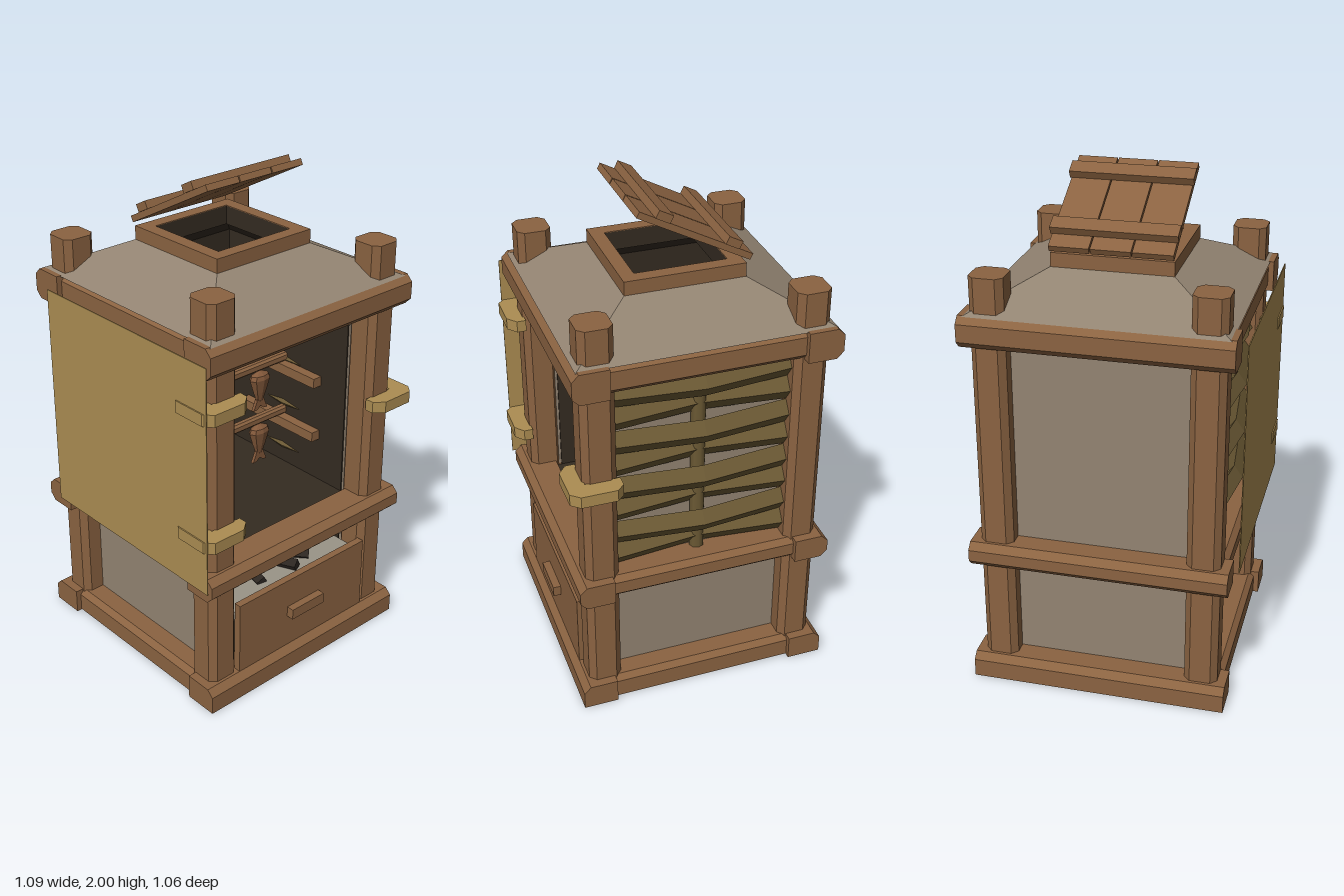
import * as THREE from 'three';

const mat = (name, color, extra = {}) => {
  const m = new THREE.MeshStandardMaterial({ color, ...extra });
  m.name = name;
  return m;
};

export function createModel() {
  const wood = mat('timber', 0x8b6341);
  const plaster = mat('plaster', 0x938472, { side: THREE.DoubleSide });
  const soot = mat('soot', 0x342b21, { side: THREE.DoubleSide });
  const wicker = mat('wicker', 0x6b5934);
  const strapMat = mat('strap', 0xac8d52);
  const fishMat = mat('smoked fish', 0x82583a);
  const ashMat = mat('ash', 0x9a9488);
  const coal = mat('charcoal', 0x2c2621);

  const model = new THREE.Group();
  const body = new THREE.Group();
  body.name = 'smokehouse';
  body.position.z = -0.015;
  model.add(body);

  const add = (name, geo, m, x = 0, y = 0, z = 0, parent = body) => {
    const mesh = new THREE.Mesh(geo, m);
    mesh.name = name;
    mesh.position.set(x, y, z);
    parent.add(mesh);
    return mesh;
  };
  const box = (name, m, w, h, d, x, y, z, parent) =>
    add(name, new THREE.BoxGeometry(w, h, d), m, x, y, z, parent);
  const flat = (geo) => {
    const g = geo.toNonIndexed();
    g.computeVertexNormals();
    return g;
  };
  const shapeOf = (pts) => new THREE.Shape(pts.map(([x, y]) => new THREE.Vector2(x, y)));
  // Prism along z, centred on its length
  const prism = (pts, len) =>
    new THREE.ExtrudeGeometry(shapeOf(pts), { depth: len, bevelEnabled: false }).translate(0, 0, -len / 2);
  // Rectangle with cut corners
  const cutRect = (w, h, c) => {
    const a = w / 2, b = h / 2;
    return [[-a + c, -b], [a - c, -b], [a, -b + c], [a, b - c], [a - c, b], [-a + c, b], [-a, b - c], [-a, -b + c]];
  };
  // Beam profile cut on the outer (+x) edges only
  const beamProfile = (w, h, c, foot) => {
    const a = w / 2, b = h / 2;
    return [[-a, -b], ...(foot ? [[a, -b]] : [[a - c, -b], [a, -b + c]]), [a, b - c], [a - c, b], [-a, b]];
  };
  // Open square funnel, given the half widths of its top and bottom
  const funnel = (top, bottom, h) =>
    flat(new THREE.CylinderGeometry(top * Math.SQRT2, bottom * Math.SQRT2, h, 4, 1, true).rotateY(Math.PI / 4));

  // Corner posts
  for (const sx of [-1, 1]) for (const sz of [-1, 1])
    add('cornerPost', prism(cutRect(0.133, 0.133, 0.025), 1.68).rotateX(-Math.PI / 2), wood, sx * 0.41, 0.865, sz * 0.41);

  // Three rings of beams
  for (const [y0, y1] of [[0, 0.102], [0.517, 0.618], [1.44, 1.563]]) {
    const h = y1 - y0, y = (y0 + y1) / 2, foot = y0 === 0;
    for (const s of [-1, 1]) {
      const long = add('crossBeam', prism(beamProfile(0.14, h, 0.027, foot), 1.024), wood, 0, y, s * 0.445);
      long.rotation.y = -s * Math.PI / 2;
      const side = add('sideBeam', prism(beamProfile(0.14, h - 0.005, 0.022, foot), 0.77), wood, s * 0.42, y, 0);
      side.rotation.y = s > 0 ? 0 : Math.PI;
    }
  }

  // Wall panels
  for (const [y0, y1, xOut] of [[0.09, 0.53, 0.392], [0.6, 1.46, 0.37]]) {
    const h = y1 - y0, y = (y0 + y1) / 2;
    box('backWall', plaster, 0.72, h, 0.02, 0, y, -0.392);
    for (const s of [-1, 1]) box('sideWall', plaster, 0.02, h, 0.72, s * (xOut - 0.01), y, 0);
  }

  // Sooty lining of the chamber and firebox
  box('backLining', soot, 0.69, 1.45, 0.006, 0, 0.835, -0.347);
  for (const s of [-1, 1]) box('sideLining', soot, 0.006, 1.45, 0.7, s * 0.347, 0.835, 0);
  box('chamberFloor', soot, 0.69, 0.01, 0.74, 0, 0.59, 0);
  box('baseFloor', soot, 0.76, 0.01, 0.76, 0, 0.1, 0);

  // Woven side slats: diamond section, bent alternately in and out around a stake
  for (const s of [-1, 1]) {
    for (let i = 0; i < 8; i++) {
      const g = new THREE.CylinderGeometry(1, 1, 0.7, 4, 2).rotateX(Math.PI / 2);
      const p = g.attributes.position;
      const bend = i % 2 ? 0.036 : -0.035;
      for (let k = 0; k < p.count; k++) {
        const z = p.getZ(k), mid = 1 - Math.abs(z) / 0.35;
        p.setXYZ(k, p.getX(k) * 0.036 + s * bend * mid, p.getY(k) * 0.051, z);
      }
      add('wovenSlat', flat(g), wicker, s * 0.405, 0.672 + i * 0.1025, 0);
    }
    add('wallStake', new THREE.CylinderGeometry(0.03, 0.03, 0.84, 8), wicker, s * 0.382, 1.03, 0);
  }

  // Hipped roof, open at the top, with a dark inside
  add('roof', funnel(0.235, 0.495, 0.125), plaster, 0, 1.6225, 0);
  add('roofLining', funnel(0.19, 0.345, 0.13), soot, 0, 1.62, 0);

  // Smoke vent collar with a sooty throat
  const ring = shapeOf([[-0.235, -0.235], [0.235, -0.235], [0.235, 0.235], [-0.235, 0.235]]);
  ring.holes.push(shapeOf([[-0.18, -0.18], [-0.18, 0.18], [0.18, 0.18], [0.18, -0.18]]));
  add('ventCollar', new THREE.ExtrudeGeometry(ring, { depth: 0.058, bevelEnabled: false }).rotateX(-Math.PI / 2), wood, 0, 1.682, 0);
  add('ventThroat', funnel(0.179, 0.179, 0.075), soot, 0, 1.7, 0);

  // Tilted vent lid
  const lid = new THREE.Group();
  lid.name = 'ventLid';
  lid.position.set(0, 1.875, -0.037);
  lid.rotation.x = -0.485;
  body.add(lid);
  for (const i of [-1, 0, 1]) box('lidBoard', wood, 0.153, 0.025, 0.49, i * 0.158, 0, 0, lid);
  for (const s of [-1, 1]) box('lidBatten', wood, 0.482, 0.032, 0.06, 0, 0.028, s * 0.15, lid);

  // Open door folded back along the side
  box('openDoor', strapMat, 0.004, 0.93, 0.925, -0.538, 1.045, 0.06);

  // Straps wrapped round the front posts
  const strapShape = [[0.335, 0.47], [0.335, 0.507], [0.375, 0.54], [0.515, 0.54], [0.545, 0.505], [0.545, 0.365],
    [0.515, 0.335], [0.47, 0.335], [0.47, 0.47]];
  for (const [s, y] of [[-1, 1.307], [-1, 0.783], [1, 1.05]]) {
    const pts = strapShape.map(([x, z]) => [s * x, -z]);
    add(s < 0 ? 'doorHinge' : 'doorLatch', prism(pts, 0.048).rotateX(-Math.PI / 2), strapMat, 0, y, 0);
  }

  // Fish racks: side rails, a bar and three hanging fish on each level
  const bodyGeo = flat(new THREE.LatheGeometry(
    [[0, -0.125], [0.018, -0.11], [0.034, -0.07], [0.054, -0.01], [0.045, 0.008], [0, 0.028]]
      .map(([x, y]) => new THREE.Vector2(x, y)), 8).scale(1, 1, 0.55));
  const tailGeo = prism([[-0.014, -0.095], [-0.038, -0.152], [-0.018, -0.15], [0, -0.135], [0.018, -0.15], [0.038, -0.152], [0.014, -0.095]].reverse(), 0.014);
  for (const y of [0.847, 1.095, 1.341]) {
    add('rackBar', prism(cutRect(0.036, 0.038, 0.009), 0.69).rotateY(Math.PI / 2), wood, 0, y, 0);
    for (const s of [-1, 1]) box('rackRail', wood, 0.046, 0.042, 0.43, s * 0.325, y - 0.04, 0);
    for (const x of [-0.205, 0, 0.205]) {
      const fish = new THREE.Group();
      fish.name = 'hangingFish';
      fish.position.set(x, y - 0.05, 0);
      body.add(fish);
      add('fishBody', bodyGeo, fishMat, 0, 0, 0, fish);
      add('fishTail', tailGeo, fishMat, 0, 0, 0, fish);
    }
  }

  // Fire drawer with ash and charred logs
  box('drawerFront', wood, 0.69, 0.315, 0.03, 0, 0.258, 0.473);
  box('drawerHandle', wood, 0.175, 0.045, 0.035, 0, 0.267, 0.502);
  box('ashBed', ashMat, 0.68, 0.04, 0.8, 0, 0.345, 0.055);
  for (let i = 0; i < 11; i++) {
    const log = box('charredLog', coal, 0.04, 0.04, 0.26, Math.sin(i * 2.4) * 0.19, 0.372, Math.cos(i * 2.4) * 0.19 + 0.09);
    log.rotation.set(0.06 * (i % 3 - 1), i * 2.4 + 0.4, 0.5);
  }

  return model;
}
